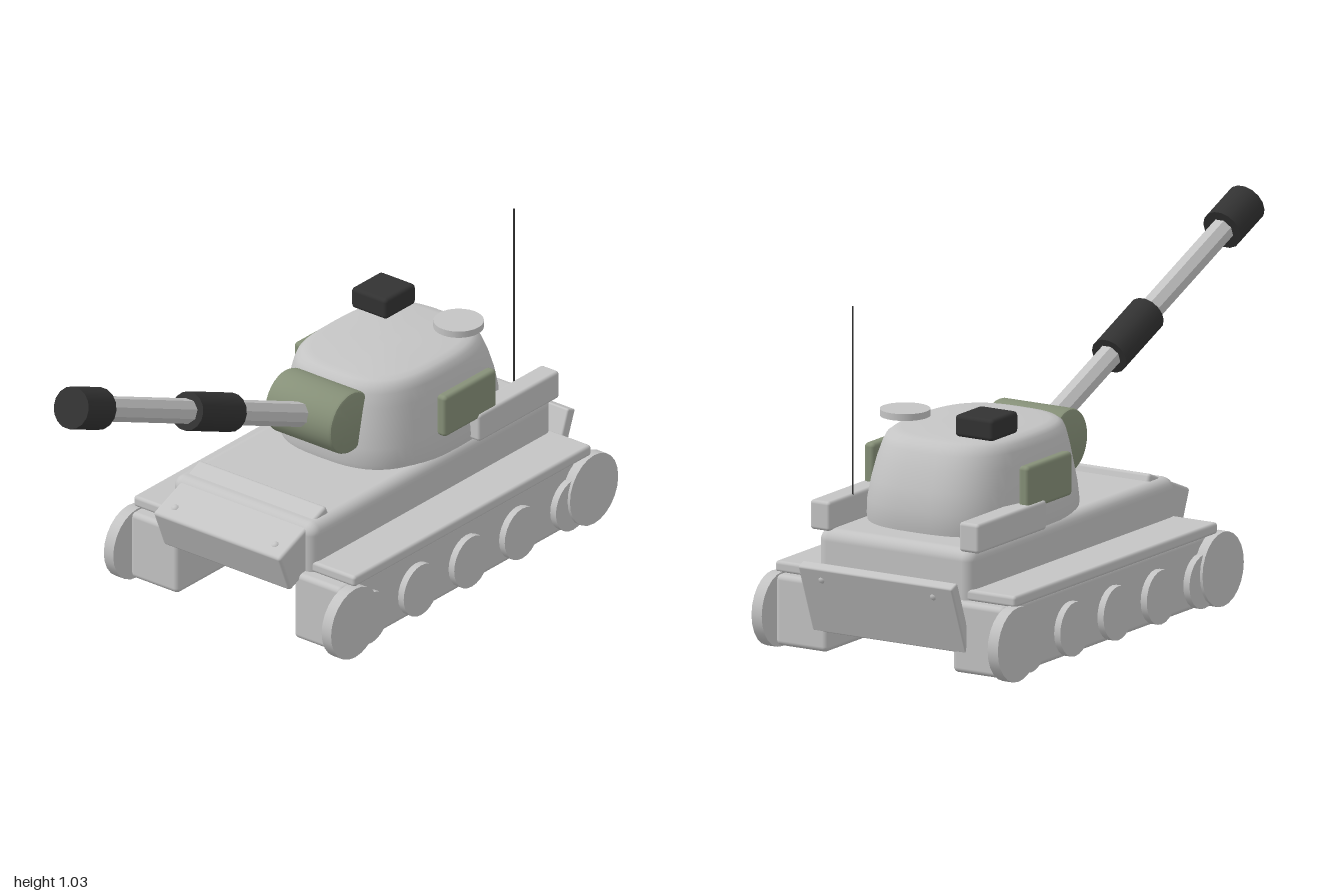
import * as THREE from 'three';
import { RoundedBoxGeometry } from 'three/addons/geometries/RoundedBoxGeometry.js';
import { toCreasedNormals } from 'three/addons/utils/BufferGeometryUtils.js';

export function createModel() {
  const model = new THREE.Group();
  const paint = (name, color) => Object.assign(new THREE.MeshStandardMaterial({ color }), { name });
  const grey = paint('armour grey', 0xc4c4c4);
  const green = paint('olive green', 0x869078);
  const dark = paint('dark metal', 0x323232);

  const add = (name, geometry, material, x = 0, y = 0, z = 0, parent = model) => {
    const mesh = new THREE.Mesh(geometry, material);
    mesh.name = name;
    mesh.position.set(x, y, z);
    parent.add(mesh);
    return mesh;
  };
  // Rounded box given by its limits on each axis
  const block = (name, material, [x0, x1], [y0, y1], [z0, z1], radius) =>
    add(name, new RoundedBoxGeometry(x1 - x0, y1 - y0, z1 - z0, 3, radius), material,
      (x0 + x1) / 2, (y0 + y1) / 2, (z0 + z1) / 2);
  // Same box on the left or right side
  const span = (side, a, b) => (side > 0 ? [a, b] : [-b, -a]);

  // Hull, carried between the tracks
  block('hull', grey, [-0.265, 0.265], [0.153, 0.366], [-0.895, 0.2], 0.035);

  // Sloped nose block and its bolts
  const nose = new THREE.Group();
  nose.name = 'nose';
  nose.position.set(0, 0.284, 0.184);
  nose.rotation.x = THREE.MathUtils.degToRad(22);
  model.add(nose);
  add('nosePlate', new RoundedBoxGeometry(0.47, 0.132, 0.232, 3, 0.01), grey, 0, 0, 0, nose);

  // Tall rear plate leaning outwards
  const rear = new THREE.Group();
  rear.name = 'rear';
  rear.position.set(0, 0.177, -0.942);
  rear.rotation.x = THREE.MathUtils.degToRad(-21);
  model.add(rear);
  add('rearPlate', new RoundedBoxGeometry(0.525, 0.222, 0.035, 2, 0.006), grey, 0, 0, 0, rear);

  const bolt = new THREE.SphereGeometry(0.014, 12, 8);
  const endWheel = new THREE.CylinderGeometry(0.11, 0.11, 0.035, 24).rotateZ(Math.PI / 2);
  const roadWheel = new THREE.CylinderGeometry(0.08, 0.08, 0.03, 24).rotateZ(Math.PI / 2);

  for (const side of [1, -1]) {
    // Running gear
    block('track', grey, span(side, 0.213, 0.39), [0.008, 0.218], [-0.92, 0.228], 0.016);
    block('fender', grey, span(side, 0.215, 0.41), [0.216, 0.25], [-0.89, 0.19], 0.01);
    for (const z of [0.2, -0.888]) add('endWheel', endWheel, grey, side * 0.4025, 0.11, z);
    for (const z of [0.115, -0.112, -0.342, -0.572, -0.805]) {
      add('roadWheel', roadWheel, grey, side * 0.396, 0.09, z);
    }
    // Side fittings
    block('stowageBox', grey, span(side, 0.22, 0.288), [0.36, 0.447], [-0.895, -0.53], 0.01);
    block('turretSidePanel', green, span(side, 0.246, 0.281), [0.43, 0.56], [-0.619, -0.382], 0.012);
    block('rearStrut', grey, span(side, 0.17, 0.2), [0.22, 0.25], [-0.965, -0.88], 0.004);
    add('noseBolt', bolt, grey, side * 0.185, 0.058, 0.072, nose);
    add('rearBolt', bolt, grey, side * 0.19, 0.073, -0.008, rear);
  }

  // Turret: rows of y, half width, front z, back z, shaped as rounded rectangles
  const rows = [
    [0.355, 0, -0.47, -0.47], [0.355, 0.254, -0.163, -0.787], [0.38, 0.256, -0.156, -0.792],
    [0.43, 0.251, -0.16, -0.795], [0.49, 0.241, -0.171, -0.783], [0.55, 0.23, -0.183, -0.762],
    [0.59, 0.22, -0.193, -0.743], [0.61, 0.212, -0.202, -0.729], [0.621, 0.199, -0.217, -0.711],
    [0.626, 0.178, -0.242, -0.685], [0.627, 0, -0.465, -0.465],
  ];
  const turret = new THREE.LatheGeometry(rows.map((r, i) => new THREE.Vector2(1, i)), 56);
  const pos = turret.attributes.position;
  const round = (v) => Math.sign(v) * Math.abs(v) ** (2 / 2.9);
  for (let i = 0; i < pos.count; i++) {
    const [y, half, front, back] = rows[Math.round(pos.getY(i))];
    pos.setXYZ(i, half * round(pos.getX(i)), y,
      (front + back) / 2 + ((front - back) / 2) * round(pos.getZ(i)));
  }
  add('turret', toCreasedNormals(turret, 0.7), grey);

  // Roof hatches and antenna
  block('squareHatch', dark, [-0.198, -0.066], [0.635, 0.7], [-0.678, -0.54], 0.012);
  add('roundHatch', new THREE.CylinderGeometry(0.073, 0.073, 0.02, 28), grey, 0.145, 0.667, -0.61);
  add('antenna', new THREE.CylinderGeometry(0.0025, 0.0025, 0.62, 8), dark, 0.224, 0.69, -0.765);

  // Gun mantlet with softened rims
  const mantlet = [[0, -0.124], [0.086, -0.124], [0.092, -0.121], [0.095, -0.114],
    [0.095, 0.114], [0.092, 0.121], [0.086, 0.124], [0, 0.124]];
  const mantletShape = new THREE.LatheGeometry(mantlet.map((p) => new THREE.Vector2(...p)), 32);
  add('mantlet', toCreasedNormals(mantletShape.rotateZ(Math.PI / 2), 0.7), green, 0, 0.521, -0.149);

  // Raised gun, built along its own z axis, with an eight-sided barrel
  const gun = new THREE.Group();
  gun.name = 'gun';
  gun.position.set(0, 0.51, -0.145);
  gun.rotation.x = THREE.MathUtils.degToRad(-22.6);
  model.add(gun);
  const tube = (name, radius, from, to, sides, material) =>
    add(name, new THREE.CylinderGeometry(radius, radius, to - from, sides)
      .rotateY(Math.PI / sides).rotateX(Math.PI / 2), material, 0, 0, (from + to) / 2, gun);
  const barrel = tube('barrel', 0.037, 0, 1.15, 8, grey);
  barrel.geometry = toCreasedNormals(barrel.geometry, 0.3);
  tube('barrelSleeve', 0.057, 0.427, 0.642, 16, dark);
  tube('muzzle', 0.062, 1.077, 1.214, 16, dark);

  return model;
}
